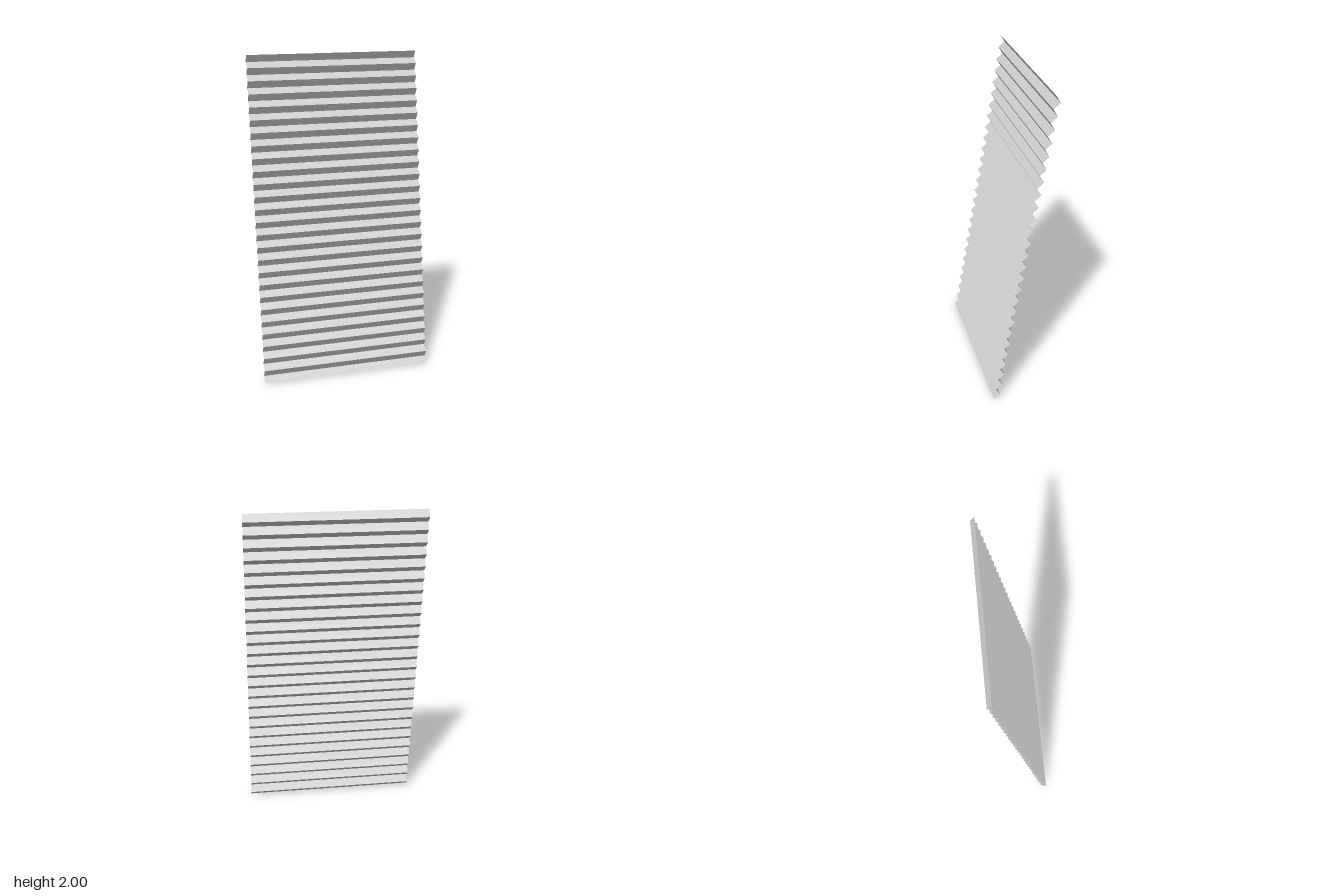
import * as THREE from 'three';

const WIDTH = 1.08, HEIGHT = 2, DEPTH = 0.371;
const PLEATS = 26;
const FOLD_IN = 0.026;                       // how far each upper fold comes forward
const RISE = HEIGHT / PLEATS;                // height of one pleat
const SET_BACK = (DEPTH - FOLD_IN) / PLEATS; // lean of the sheet per pleat
const LOWER_RISE = 0.0328;                   // height of the upward-facing fold

// Pleated sheet: each pleat steps back, then overhangs forward, while the whole leans back
function pleatedSheet() {
  const rows = PLEATS * 2;
  const plane = new THREE.PlaneGeometry(WIDTH, HEIGHT, 1, rows);
  const pos = plane.attributes.position;
  for (let v = 0; v < pos.count; v++) {
    const row = rows - Math.floor(v / 2);    // counted from the bottom
    const pleat = Math.floor(row / 2), valley = row % 2;
    pos.setY(v, pleat * RISE + valley * LOWER_RISE);
    pos.setZ(v, DEPTH / 2 - pleat * SET_BACK - valley * (SET_BACK + FOLD_IN));
  }
  const geometry = plane.toNonIndexed();     // crisp folds
  geometry.computeVertexNormals();
  return geometry;
}

export function createModel() {
  const group = new THREE.Group();
  group.name = 'pleatedBlind';
  const sheet = new THREE.Mesh(
    pleatedSheet(),
    new THREE.MeshStandardMaterial({ color: 0xcccccc, flatShading: true, side: THREE.DoubleSide })
  );
  sheet.name = 'pleatedSheet';
  group.add(sheet);
  return group;
}
